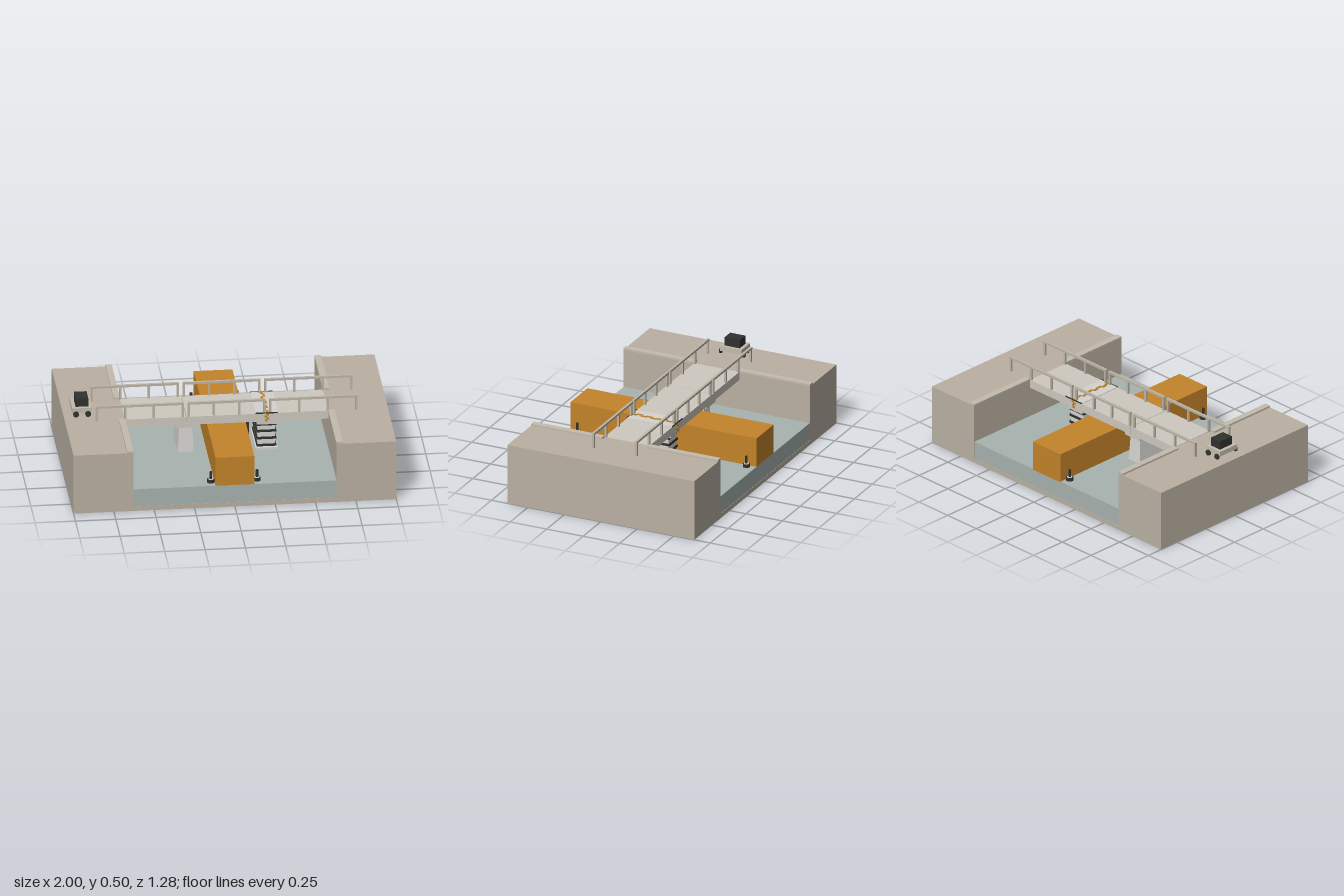
import * as THREE from 'three';

const mat = (color) => new THREE.MeshStandardMaterial({ color });

export function createModel() {
  const model = new THREE.Group();
  const stone = mat(0xbab1a3), coping = mat(0xc4bcae), concrete = mat(0xcfcac0), pale = mat(0xd6d4d0);
  const water = mat(0xa8b3af), orange = mat(0xc3842a), dark = mat(0x30322f), rail = mat(0xbdb6a8);

  const add = (name, geometry, material, parent = model) => {
    const mesh = new THREE.Mesh(geometry, material);
    mesh.name = name;
    parent.add(mesh);
    return mesh;
  };
  // Box given by its limits on each axis
  const box = (name, x0, x1, y0, y1, z0, z1, material, parent) => {
    const mesh = add(name, new THREE.BoxGeometry(x1 - x0, y1 - y0, z1 - z0), material, parent);
    mesh.position.set((x0 + x1) / 2, (y0 + y1) / 2, (z0 + z1) / 2);
    return mesh;
  };
  // Upright cylinder standing on y0
  const post = (name, r, x, y0, y1, z, material, parent) => {
    const mesh = add(name, new THREE.CylinderGeometry(r, r, y1 - y0, 20), material, parent);
    mesh.position.set(x, (y0 + y1) / 2, z);
  };

  // River bed, water and the two banks with their edge copings
  box('riverBed', -0.63, 0.63, 0, 0.03, -0.64, 0.64, stone);
  box('water', -0.63, 0.63, 0.03, 0.145, -0.638, 0.638, water);
  for (const s of [-1, 1]) {
    box('bank', Math.min(s, s * 0.63), Math.max(s, s * 0.63), 0, 0.393, -0.64, 0.64, stone);
    for (const t of [-1, 1]) {
      const edges = [s * 0.628, s * 0.668].sort((a, b) => a - b);
      const ends = [t * 0.155, t * 0.64].sort((a, b) => a - b);
      box('bankCoping', ...edges, 0.393, 0.405, ...ends, coping);
    }
  }

  // Long channel block running beneath the bridge
  box('channelBlock', -0.12, 0.12, 0.14, 0.335, -0.638, 0.638, orange);

  // Three deck spans with joints between them, each with its own railings
  const spans = [
    { deck: [-0.63, -0.252], rail: [-0.812, -0.264] },
    { deck: [-0.248, 0.248], rail: [-0.242, 0.242] },
    { deck: [0.252, 0.63], rail: [0.264, 0.812] },
  ];
  for (const { deck, rail: [r0, r1] } of spans) {
    const span = new THREE.Group();
    span.name = 'bridgeSpan';
    model.add(span);
    box('deck', ...deck, 0.342, 0.396, -0.155, 0.155, concrete, span);
    for (const z of [-0.147, 0.147]) {
      box('handrail', r0, r1, 0.478, 0.492, z - 0.008, z + 0.008, rail, span);
      for (let i = 0; i < 4; i++) {
        const x = r0 + 0.008 + (r1 - r0 - 0.016) * i / 3;
        box('railPost', x - 0.007, x + 0.007, 0.39, 0.48, z - 0.007, z + 0.007, rail, span);
      }
    }
  }

  // Plain pier: the shaft narrows towards its cap
  const shaft = new THREE.BoxGeometry(0.1, 0.18, 0.25);
  const p = shaft.attributes.position;
  for (let i = 0; i < p.count; i++) {
    if (p.getY(i) > 0) p.setXYZ(i, p.getX(i) * 0.8, p.getY(i), p.getZ(i) * 0.92);
  }
  shaft.computeVertexNormals();
  add('pierShaft', shaft, pale).position.set(-0.25, 0.23, 0);
  box('pierCap', -0.315, -0.19, 0.318, 0.344, -0.145, 0.145, concrete);

  // Repaired pier: footing, shaft, cap and dark strengthening bands
  box('pierFooting', 0.18, 0.318, 0.14, 0.16, -0.145, 0.145, pale);
  box('bandedShaft', 0.195, 0.303, 0.16, 0.32, -0.125, 0.125, pale);
  box('bandedPierCap', 0.188, 0.312, 0.317, 0.344, -0.145, 0.145, concrete);
  for (const y of [0.17, 0.218, 0.266, 0.31]) {
    box('pierBand', 0.188, 0.31, y - 0.007, y + 0.007, -0.132, 0.132, dark);
  }

  // Dark cabinet hanging from a bracket beside the banded pier
  box('cabinetBracket', 0.09, 0.195, 0.318, 0.344, -0.04, 0.04, coping);
  box('cabinet', 0.12, 0.15, 0.16, 0.315, -0.035, 0.035, dark);

  // Patch over the damaged joint, with dark end strips
  box('deckPatch', 0.178, 0.318, 0.394, 0.4, -0.155, 0.155, pale);
  for (const z of [-0.156, 0.156]) {
    box('patchEdge', 0.178, 0.318, 0.396, 0.403, z - 0.002, z + 0.002, dark);
  }

  // Zigzag crack across the patch and down both deck faces
  const crack = new THREE.Group();
  crack.name = 'crack';
  model.add(crack);
  const offsets = [0, 0.008, -0.007, 0.004, 0.01, -0.002, 0.007, -0.006, 0.005];
  offsets.forEach((dx, i) => {
    const z = -0.138 + i * 0.0345;
    box('crackPiece', 0.241 + dx, 0.255 + dx, 0.398, 0.404, z - 0.018, z + 0.018, orange, crack);
  });
  for (const z of [-0.156, 0.156]) {
    [0.006, -0.006, 0.005, -0.003].forEach((dx, i) => {
      const y = 0.396 - i * 0.013;
      box('crackFacePiece', 0.241 + dx, 0.256 + dx, y - 0.013, y, z - 0.003, z + 0.003, orange, crack);
    });
  }

  // Mooring bollards at the ends of the channel block
  for (const x of [-0.143, 0.143]) {
    for (const z of [-0.58, 0.58]) {
      const bollard = new THREE.Group();
      bollard.name = 'bollard';
      model.add(bollard);
      post('bollardBase', 0.023, x, 0.143, 0.165, z, dark, bollard);
      post('bollardCollar', 0.016, x, 0.16, 0.168, z, pale, bollard);
      post('bollardPost', 0.008, x, 0.165, 0.216, z, dark, bollard);
    }
  }

  // Small vehicle waiting on the right-hand bank
  const vehicle = new THREE.Group();
  vehicle.name = 'vehicle';
  model.add(vehicle);
  box('vehicleBody', -0.948, -0.826, 0.418, 0.45, -0.074, 0.074, coping, vehicle);
  box('vehicleCab', -0.925, -0.846, 0.45, 0.505, -0.052, 0.052, dark, vehicle);
  for (const x of [-0.925, -0.85]) {
    for (const z of [-0.079, 0.079]) {
      const wheel = add('wheel', new THREE.CylinderGeometry(0.018, 0.018, 0.011, 20), dark, vehicle);
      wheel.rotation.x = Math.PI / 2;
      wheel.position.set(x, 0.411, z);
    }
  }

  return model;
}
